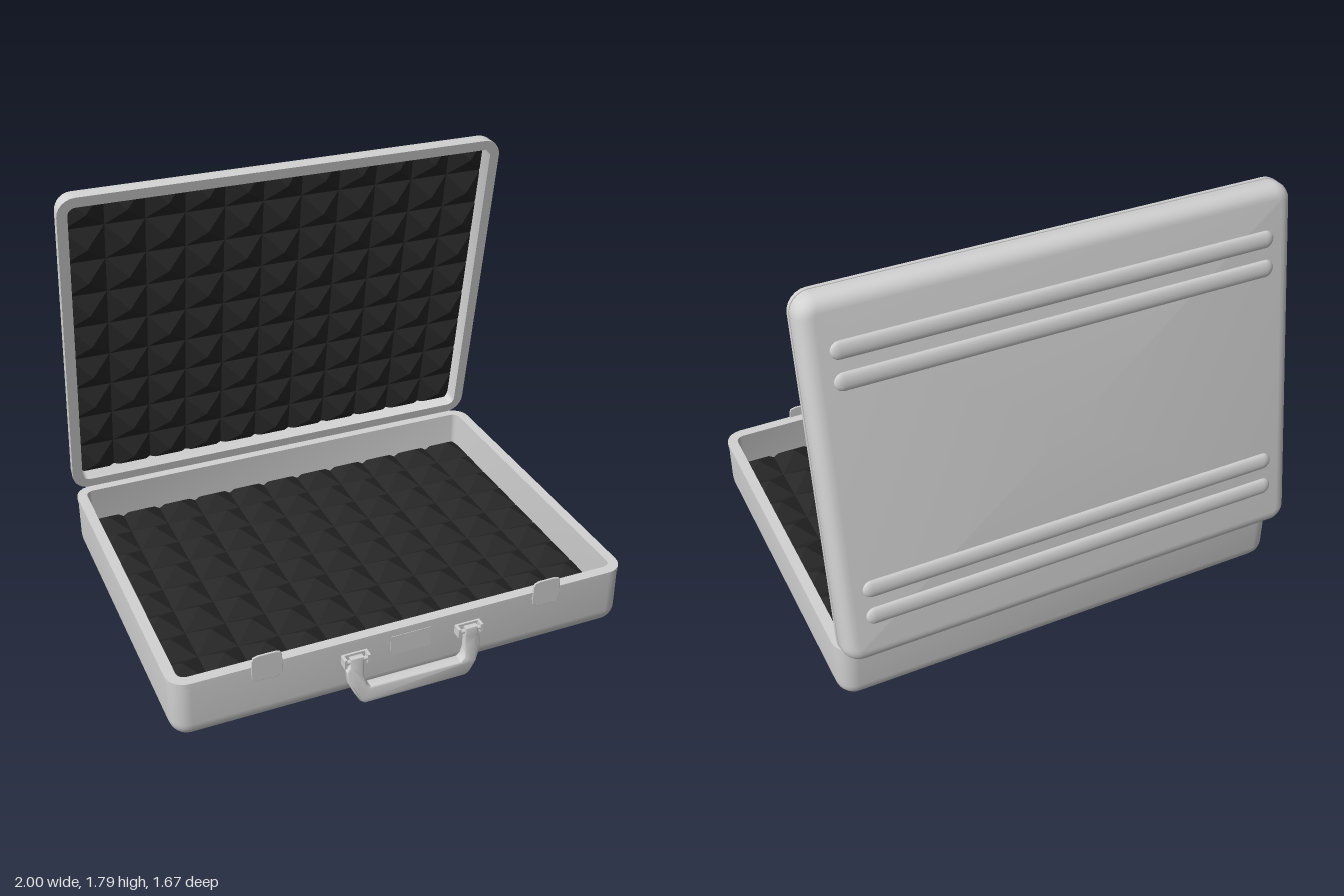
import * as THREE from 'three';
import { mergeGeometries, toCreasedNormals } from 'three/addons/utils/BufferGeometryUtils.js';

const metal = new THREE.MeshStandardMaterial({ color: 0xd2d2d2 });
metal.name = 'light grey metal';
const foamBlack = new THREE.MeshStandardMaterial({ color: 0x272727 });
foamBlack.name = 'black foam';

function add(parent, name, geometry, material = metal, x = 0, y = 0, z = 0) {
  const mesh = new THREE.Mesh(geometry, material);
  mesh.name = name;
  mesh.position.set(x, y, z);
  parent.add(mesh);
  return mesh;
}

// Rounded rectangle ring in the xz plane
function ring(hx, hz, corner, inset, y) {
  const r = Math.max(corner - inset, 0.012), steps = 6, points = [];
  for (let q = 0; q < 4; q++) {
    const sx = q === 0 || q === 3 ? 1 : -1, sz = q < 2 ? 1 : -1;
    for (let i = 0; i <= steps; i++) {
      const a = (q + i / steps) * Math.PI / 2;
      points.push([sx * (hx - inset - r) + r * Math.cos(a), y, sz * (hz - inset - r) + r * Math.sin(a)]);
    }
  }
  return points;
}

// Open tray: outer skin, rim, inner wall and floor, lofted through rings
function trayGeometry(hx, hz, height, round, floorY) {
  const corner = 0.08, wall = 0.045, lip = 0.003;
  const profile = [];
  for (let i = 0; i <= 6; i++) {
    const a = (i / 6) * Math.PI / 2;
    profile.push([lip + round * (1 - Math.sin(a)), round * (1 - Math.cos(a))]);
  }
  profile.push([lip, height - 0.02], [0, height - 0.02], [0, height], [wall, height], [wall, floorY]);
  const rings = profile.map(([inset, y]) => ring(hx, hz, corner, inset, y));
  const n = rings[0].length;
  rings.unshift(Array(n).fill([0, 0, 0]));
  rings.push(Array(n).fill([0, floorY, 0]));
  const index = [];
  for (let k = 0; k < rings.length - 1; k++) {
    for (let i = 0; i < n; i++) {
      const a = k * n + i, b = k * n + (i + 1) % n;
      if (k < rings.length - 2) index.push(b, a + n, b + n);
      if (k > 0) index.push(a, a + n, b);
    }
  }
  const geometry = new THREE.BufferGeometry();
  geometry.setAttribute('position', new THREE.Float32BufferAttribute(rings.flat(2), 3));
  geometry.setIndex(index);
  return toCreasedNormals(geometry, 0.7);
}

// Grid of four-sided foam pyramids, base at y = 0
function foamGeometry(width, depth, height, cols = 11, rows = 9) {
  const w = width / cols, d = depth / rows, cells = [];
  for (let i = 0; i < cols; i++) {
    for (let j = 0; j < rows; j++) {
      cells.push(new THREE.ConeGeometry(Math.SQRT1_2, 1, 4, 1, true)
        .rotateY(Math.PI / 4).scale(w, height, d)
        .translate((i + 0.5) * w - width / 2, height / 2, (j + 0.5) * d - depth / 2));
    }
  }
  const geometry = mergeGeometries(cells).toNonIndexed();
  geometry.computeVertexNormals();
  return geometry;
}

// Case half with its foam and four outer ribs
function caseHalf(name, halfDepth, height, round, floorY, foamHeight) {
  const half = new THREE.Group();
  half.name = name;
  add(half, name + 'Shell', trayGeometry(1, halfDepth, height, round, floorY));
  add(half, name + 'Foam', foamGeometry(1.925, halfDepth * 2 - 0.045, foamHeight), foamBlack, 0, floorY + 0.004, 0);
  const rib = new THREE.CapsuleGeometry(0.036, 1.728, 6, 16).rotateZ(Math.PI / 2).scale(1, 0.42, 1);
  for (const z of [-0.55, -0.43, 0.43, 0.55]) add(half, name + 'Rib', rib, metal, 0, 0, z);
  return half;
}

function extrude(points, depth, bevel) {
  const shape = new THREE.Shape(points.map(([x, y]) => new THREE.Vector2(x, y)));
  return new THREE.ExtrudeGeometry(shape, {
    depth, bevelThickness: bevel, bevelSize: bevel, bevelOffset: -bevel, bevelSegments: 3,
  });
}

// Closes a right-hand half outline with its mirror image
const mirrored = (half) => [...half, ...half.map(([x, y]) => [-x, y]).reverse()];

export function createModel() {
  const model = new THREE.Group();
  model.name = 'openBriefcase';

  // Lower half
  const base = caseHalf('base', 0.76, 0.277, 0.075, 0.1, 0.055);
  base.position.set(0, 0.015, 0.016);
  model.add(base);

  // Lid, leaning slightly over the base
  const hinge = new THREE.Group();
  hinge.name = 'lidHinge';
  hinge.position.set(0, 0.29, -0.742);
  hinge.rotation.x = THREE.MathUtils.degToRad(99.8);
  const lid = caseHalf('lid', 0.76, 0.106, 0.06, 0.025, 0.05);
  lid.position.set(0, -0.106, -0.76);
  hinge.add(lid);
  model.add(hinge);

  // Hinge barrels
  const barrel = new THREE.CylinderGeometry(0.006, 0.006, 0.24, 12).rotateZ(Math.PI / 2);
  for (const x of [-0.6, 0.6]) add(model, 'hingeBarrel', barrel, metal, x, 0.288, -0.745);

  // Latches
  const latch = extrude(mirrored([
    [0.042, 0.22], [0.062, 0.235], [0.065, 0.26], [0.062, 0.32], [0.056, 0.334], [0.035, 0.34],
  ]), 0.005, 0.002);
  for (const x of [-0.615, 0.615]) add(model, 'latch', latch, metal, x, 0, 0.772);

  // Lock plate
  add(model, 'lockPlate', new THREE.BoxGeometry(0.18, 0.09, 0.006), metal, 0, 0.212, 0.772);

  // Handle brackets and pins
  const pin = new THREE.CylinderGeometry(0.009, 0.009, 0.1, 12).rotateZ(Math.PI / 2);
  for (const side of [-1, 1]) {
    add(model, 'handleBracket', new THREE.BoxGeometry(0.1, 0.035, 0.012), metal, side * 0.25, 0.215, 0.776);
    add(model, 'handlePin', pin, metal, side * 0.25, 0.213, 0.802);
    for (const dx of [-0.05, 0.05]) {
      add(model, 'bracketEar', new THREE.BoxGeometry(0.012, 0.04, 0.04), metal, side * 0.25 + dx, 0.212, 0.793);
    }
  }

  // Carrying handle with slim arms and a thicker grip
  const outer = [[0.225, 0.232], [0.28, 0.232], [0.28, 0.19], [0.295, 0.17], [0.292, 0.12],
    [0.27, 0.07], [0.245, 0.025], [0.225, 0.01]];
  const inner = [[0.2, 0.085], [0.215, 0.1], [0.222, 0.14], [0.222, 0.19]];
  const outline = [...mirrored(outer), ...inner.map(([x, y]) => [-x, y]).reverse(), ...inner];
  const handle = extrude(outline, 0.022, 0.008);
  const p = handle.attributes.position;
  for (let i = 0; i < p.count; i++) {
    const t = THREE.MathUtils.smoothstep(0.14 - p.getY(i), 0, 0.06);
    p.setZ(i, (p.getZ(i) - 0.011) * (0.7 + 0.65 * t) + 0.802 + 0.006 * t);
  }
  handle.deleteAttribute('normal');
  add(model, 'handle', toCreasedNormals(handle, 0.7));

  return model;
}
